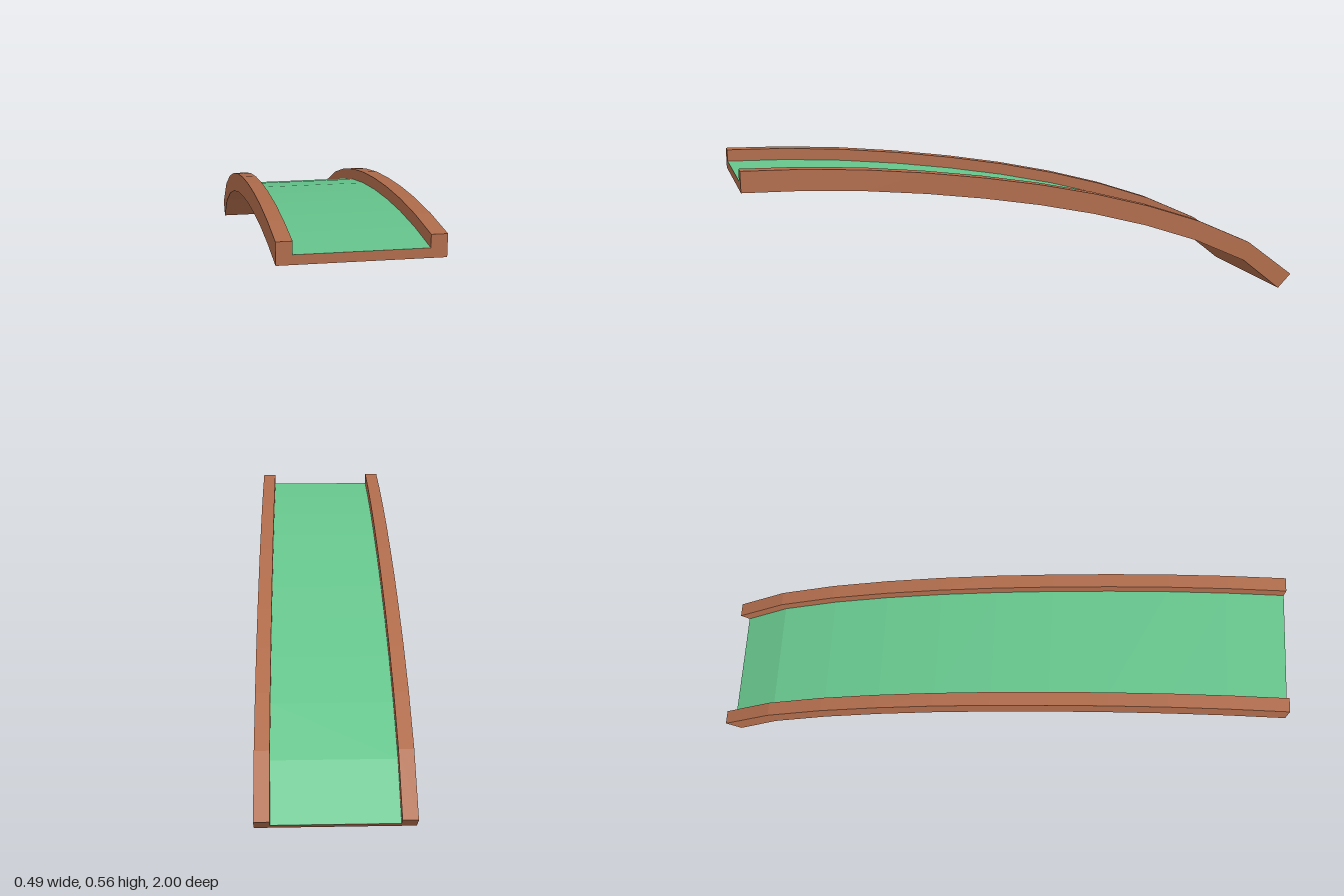
import * as THREE from 'three';

// Side path from front to back: underside point (z, y) and the offset (dz, dy) to the rail top
const STATIONS = [
  [1, 0.488, 0, 0.07], [0.8, 0.483, 0, 0.07], [0.6, 0.469, -0.002, 0.07],
  [0.4, 0.447, -0.003, 0.07], [0.2, 0.418, -0.004, 0.07], [0, 0.382, -0.005, 0.07],
  [-0.2, 0.337, -0.006, 0.07], [-0.4, 0.281, -0.008, 0.07], [-0.6, 0.211, -0.011, 0.07],
  [-0.8, 0.119, -0.017, 0.068], [-0.95, 0, -0.05, 0.05],
];

// U-shaped cross-section: x and height as a fraction of the rail offset
const W = 0.243, IN = 0.195, FLOOR = 0.43;
const SECTION = [
  [-W, 0], [W, 0], [W, 1], [IN, 1], [IN, FLOOR], [-IN, FLOOR], [-IN, 1], [-W, 1],
];
const FLOOR_EDGE = 4;

function place([z, y, dz, dy], [x, t]) {
  return [x, y + dy * t, z + dz * t];
}

function buildGeometry(triangles) {
  const geometry = new THREE.BufferGeometry();
  geometry.setAttribute('position', new THREE.Float32BufferAttribute(triangles.flat(2), 3));
  geometry.computeVertexNormals();
  return geometry;
}

// Sweeps the chosen section edges along the path
function sweep(edges) {
  const triangles = [];
  for (const i of edges) {
    const p = SECTION[i], q = SECTION[(i + 1) % SECTION.length];
    for (let k = 0; k < STATIONS.length - 1; k++) {
      const a = place(STATIONS[k], p), b = place(STATIONS[k], q);
      const c = place(STATIONS[k + 1], q), d = place(STATIONS[k + 1], p);
      triangles.push([a, c, b], [a, d, c]);
    }
  }
  return triangles;
}

// Closes one end with the section outline
function cap(station, flip) {
  const outline = SECTION.map(([x, t]) => new THREE.Vector2(x, t));
  return THREE.ShapeUtils.triangulateShape(outline, []).map((face) => {
    const order = flip ? [...face].reverse() : face;
    return order.map((i) => place(station, SECTION[i]));
  });
}

export function createModel() {
  const brown = new THREE.MeshStandardMaterial({ color: 0xb06c4c });
  brown.name = 'brown frame';
  const green = new THREE.MeshStandardMaterial({ color: 0x66c58c });
  green.name = 'green surface';

  const group = new THREE.Group();
  group.name = 'curvedRamp';

  // Side rails, underside and both ends
  const frameEdges = SECTION.map((_, i) => i).filter((i) => i !== FLOOR_EDGE);
  const frame = new THREE.Mesh(buildGeometry([
    ...sweep(frameEdges),
    ...cap(STATIONS[0], false),
    ...cap(STATIONS[STATIONS.length - 1], true),
  ]), brown);
  frame.name = 'frame';

  // Running surface between the rails
  const surface = new THREE.Mesh(buildGeometry(sweep([FLOOR_EDGE])), green);
  surface.name = 'surface';

  group.add(frame, surface);
  return group;
}
